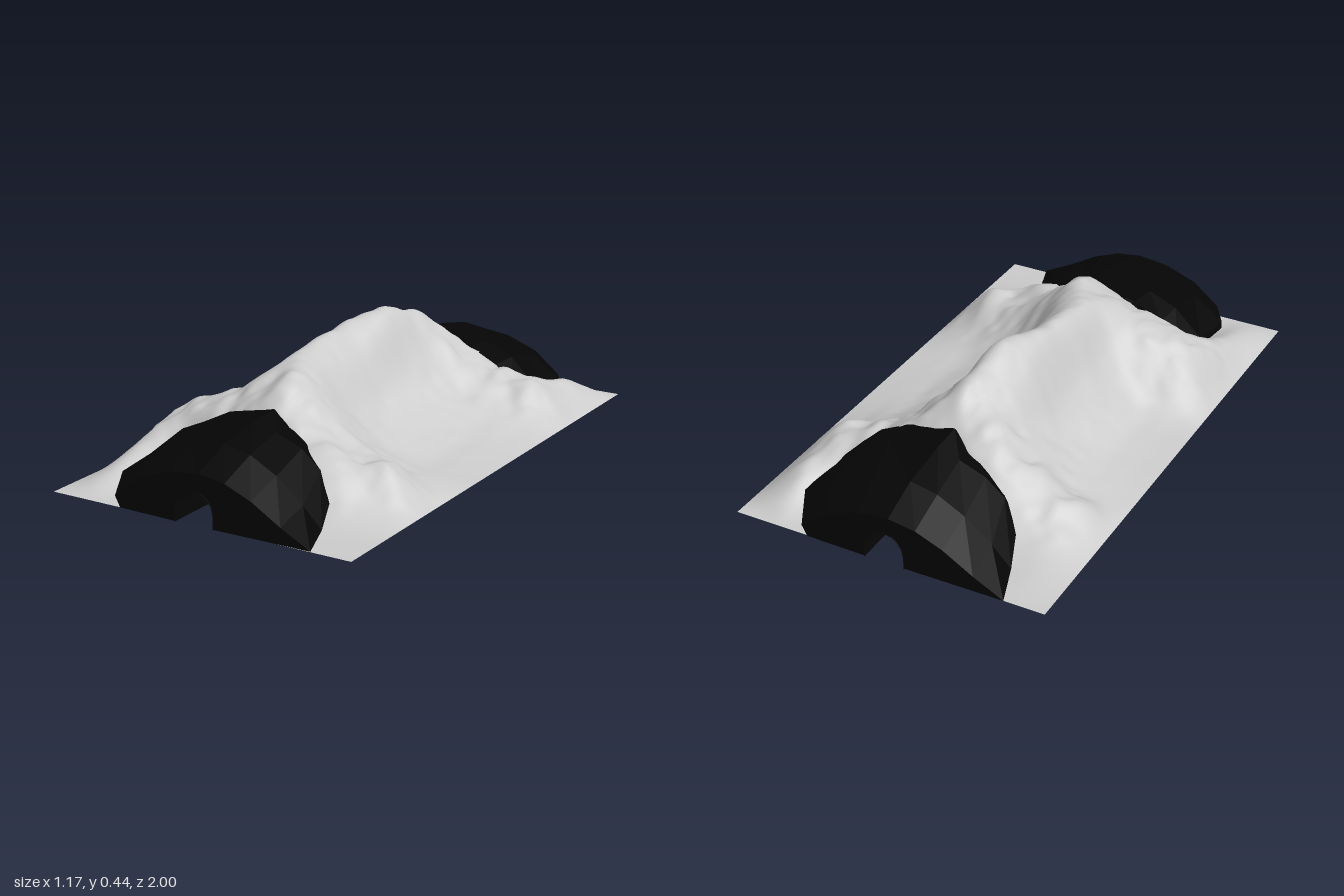
import * as THREE from 'three';

const rock = new THREE.MeshStandardMaterial({ color: 0xcccccc, side: THREE.DoubleSide });
const black = new THREE.MeshStandardMaterial({ color: 0x050505, side: THREE.DoubleSide, flatShading: true });

// Coarse height map: columns run along x, rows along z
const colX = [-0.585, -0.47, -0.36, -0.22, -0.11, 0, 0.11, 0.22, 0.36, 0.45, 0.585];
const rowZ = [-0.99, -0.8, -0.65, -0.53, -0.4, -0.22, 0, 0.2, 0.37, 0.52, 0.64, 0.8, 0.99];
const heights = [
  [0, 0, 0, 0, 0, 0, 0, 0, 0, 0, 0],
  [0, 0.02, 0.02, 0.03, 0.04, 0.04, 0.04, 0.04, 0.05, 0.09, 0],
  [0, 0.06, 0.1, 0.17, 0.18, 0.16, 0.16, 0.17, 0.13, 0.11, 0],
  [0, 0.1, 0.14, 0.23, 0.28, 0.295, 0.26, 0.21, 0.15, 0.14, 0],
  [0, 0.04, 0.09, 0.2, 0.32, 0.385, 0.28, 0.17, 0.09, 0.06, 0],
  [0, 0.02, 0.06, 0.18, 0.385, 0.425, 0.23, 0.12, 0.05, 0.03, 0],
  [0, 0.015, 0.05, 0.19, 0.395, 0.345, 0.17, 0.09, 0.035, 0.02, 0],
  [0, 0.03, 0.07, 0.2, 0.38, 0.335, 0.19, 0.095, 0.035, 0.02, 0],
  [0, 0.14, 0.21, 0.27, 0.335, 0.36, 0.27, 0.16, 0.09, 0.06, 0],
  [0, 0.14, 0.19, 0.23, 0.275, 0.3, 0.26, 0.19, 0.14, 0.14, 0],
  [0, 0.1, 0.09, 0.13, 0.15, 0.16, 0.16, 0.17, 0.11, 0.06, 0],
  [0, 0.05, 0.02, 0.03, 0.04, 0.04, 0.04, 0.04, 0.02, 0.01, 0],
  [0, 0, 0, 0, 0, 0, 0, 0, 0, 0, 0],
];

// Smooth curve through values at uneven stations
function sample(stations, values, s) {
  const n = stations.length - 1;
  let i = 0;
  while (i < n - 1 && s > stations[i + 1]) i++;
  const slope = (k) => {
    const a = Math.max(k - 1, 0), b = Math.min(k + 1, n);
    return (values[b] - values[a]) / (stations[b] - stations[a]);
  };
  const w = stations[i + 1] - stations[i];
  const t = THREE.MathUtils.clamp((s - stations[i]) / w, 0, 1);
  const t2 = t * t, t3 = t2 * t;
  return (2 * t3 - 3 * t2 + 1) * values[i] + (t3 - 2 * t2 + t) * w * slope(i)
    + (3 * t2 - 2 * t3) * values[i + 1] + (t3 - t2) * w * slope(i + 1);
}

// Seeded value noise in -1..1
function noise(x, z) {
  const hash = (i, j) => {
    const v = Math.sin(i * 127.1 + j * 311.7) * 43758.5453;
    return 2 * (v - Math.floor(v)) - 1;
  };
  const i = Math.floor(x), j = Math.floor(z);
  const u = THREE.MathUtils.smoothstep(x - i, 0, 1), v = THREE.MathUtils.smoothstep(z - j, 0, 1);
  const mix = THREE.MathUtils.lerp;
  return mix(mix(hash(i, j), hash(i + 1, j), u), mix(hash(i, j + 1), hash(i + 1, j + 1), u), v);
}

// Relief is rougher on the cross ridges at either end than on the valley walls
function heightAt(x, z) {
  const column = heights.map((row) => sample(colX, row, x));
  const h = Math.max(0, sample(rowZ, column, z));
  const rough = 0.4 + 0.6 * Math.exp(-(((Math.abs(z) - 0.5) / 0.15) ** 2));
  const relief = 0.7 * noise(x * 12 + 50, z * 12 + 50) + 0.4 * noise(x * 26 + 90, z * 26 + 20);
  return Math.max(0, h + relief * rough * Math.min(0.024, h * 0.2));
}

// Terrain sheet, open above the tunnel mouths where the portals cover it
function makeTerrain() {
  const nx = 78, nz = 132;
  const geo = new THREE.PlaneGeometry(1.17, 1.98, nx, nz).rotateX(-Math.PI / 2);
  const p = geo.attributes.position;
  for (let i = 0; i < p.count; i++) p.setY(i, heightAt(p.getX(i), p.getZ(i)));
  geo.computeVertexNormals();
  const kept = [], index = geo.index.array;
  for (let i = 0; i < index.length; i += 3) {
    const tri = [index[i], index[i + 1], index[i + 2]];
    const inMouth = tri.every((v) => Math.abs(p.getX(v)) < 0.08 && Math.abs(p.getZ(v)) > 0.66);
    if (!inMouth) kept.push(...tri);
  }
  geo.setIndex(kept);
  const mesh = new THREE.Mesh(geo, rock);
  mesh.name = 'mountainTerrain';
  return mesh;
}

// Skin between cross-sections [z, points]
function loft(sections) {
  const pos = [], index = [], n = sections[0][1].length;
  for (const [z, pts] of sections) for (const [x, y] of pts) pos.push(x, y, z);
  for (let s = 0; s < sections.length - 1; s++) {
    for (let i = 0; i < n - 1; i++) {
      const a = s * n + i, b = a + n;
      index.push(a, a + 1, b, a + 1, b + 1, b);
    }
  }
  const geo = new THREE.BufferGeometry();
  geo.setAttribute('position', new THREE.Float32BufferAttribute(pos, 3));
  geo.setIndex(index);
  geo.computeVertexNormals();
  return geo;
}

// Tunnel arch: straight sides below a half-round vault
const arch = [[-0.075, 0]];
for (let i = 0; i <= 8; i++) {
  const a = Math.PI * (1 - i / 8);
  arch.push([0.075 * Math.cos(a), 0.045 + 0.075 * Math.sin(a)]);
}
arch.push([0.075, 0]);

// Faceted rock portal with an arched opening in its face
function makePortal(name) {
  const face = [[-0.3, 0.002], [-0.32, 0.04], [-0.22, 0.12], [-0.1, 0.165], [0.02, 0.18],
    [0.12, 0.165], [0.22, 0.125], [0.33, 0.06], [0.44, 0.004]];
  const hood = loft([
    [0.995, face],
    [0.85, [[-0.4, 0.035], [-0.4, 0.065], [-0.28, 0.15], [-0.12, 0.213], [0.02, 0.237],
      [0.12, 0.218], [0.22, 0.165], [0.32, 0.085], [0.39, 0.015]]],
    [0.67, [[-0.4, 0.06], [-0.39, 0.08], [-0.28, 0.185], [-0.17, 0.23], [0.02, 0.265],
      [0.1, 0.238], [0.2, 0.2], [0.27, 0.14], [0.32, 0.08]]],
    [0.56, [[-0.36, 0.11], [-0.34, 0.12], [-0.27, 0.18], [-0.16, 0.235], [0.02, 0.274],
      [0.09, 0.225], [0.16, 0.18], [0.2, 0.16], [0.23, 0.145]]],
  ]);
  const outline = [...face, ...[...arch].reverse()].map(([x, y]) => new THREE.Vector2(x, y));
  const front = new THREE.ShapeGeometry(new THREE.Shape(outline)).translate(0, 0, 0.995);
  const group = new THREE.Group();
  group.name = name;
  const parts = { portalHood: hood, portalFace: front };
  for (const key in parts) {
    const mesh = new THREE.Mesh(parts[key], black);
    mesh.name = key;
    group.add(mesh);
  }
  return group;
}

export function createModel() {
  const model = new THREE.Group();
  model.name = 'mountainTunnel';
  model.add(makeTerrain());

  // Matching portals at both ends
  const backPortal = makePortal('backPortal');
  backPortal.rotation.y = Math.PI;
  model.add(makePortal('frontPortal'), backPortal);

  // Tunnel lining through the whole mountain
  const tunnel = new THREE.Mesh(loft([[1, arch], [-1, arch]]), black);
  tunnel.name = 'tunnel';
  model.add(tunnel);
  return model;
}
